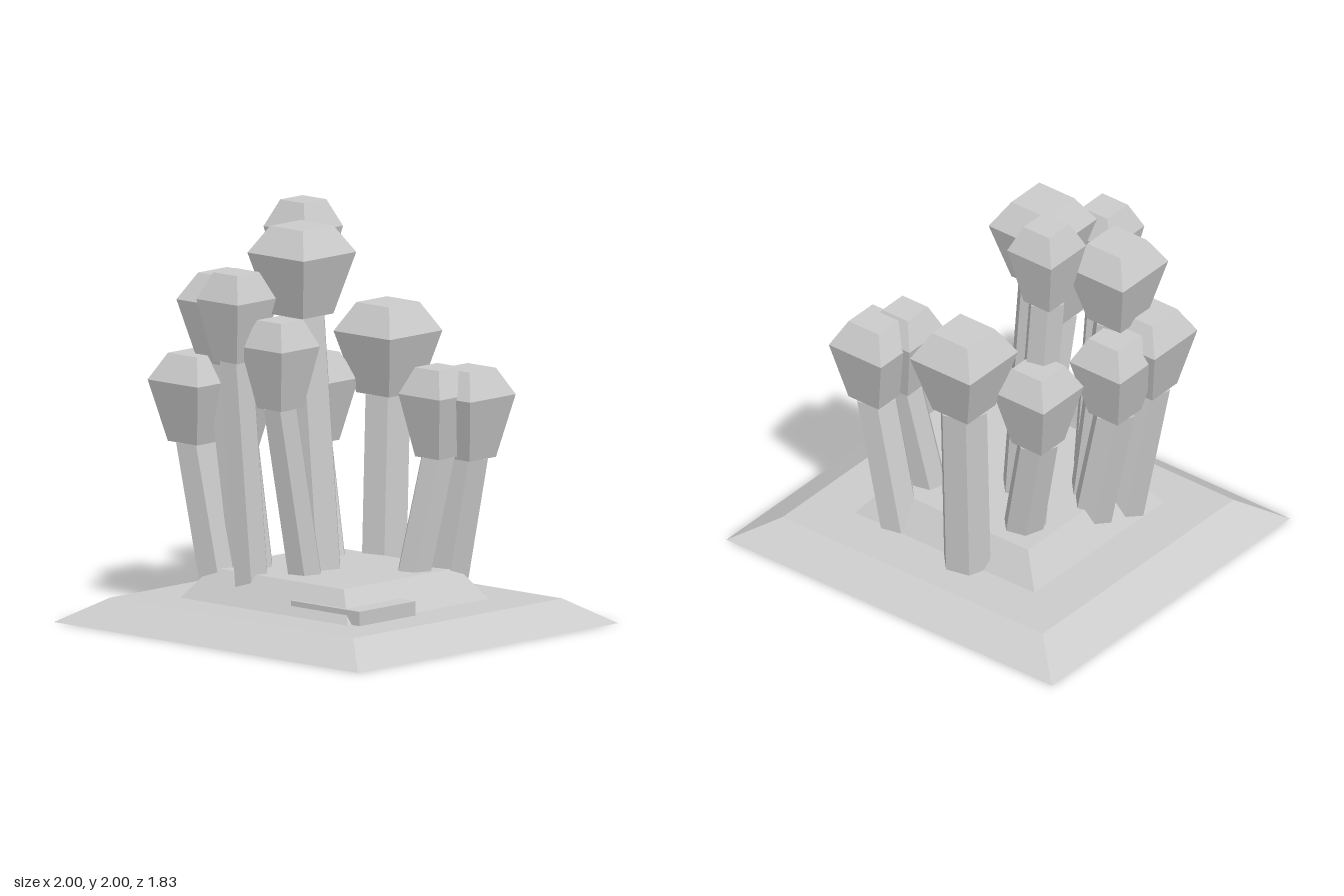
import * as THREE from 'three';

const stone = new THREE.MeshStandardMaterial({ color: 0xcccccc, flatShading: true });
stone.name = 'pale stone';

function addMesh(group, name, geometry) {
  const mesh = new THREE.Mesh(geometry, stone);
  mesh.name = name;
  group.add(mesh);
  return mesh;
}

// Box from y0 to y1 whose bottom and top rectangles differ in size
function frustum(x, z, y0, y1, w0, d0, w1, d1) {
  const geo = new THREE.BoxGeometry(1, 1, 1);
  const p = geo.attributes.position;
  for (let i = 0; i < p.count; i++) {
    const top = p.getY(i) > 0;
    p.setXYZ(i, x + p.getX(i) * (top ? w1 : w0), top ? y1 : y0, z + p.getZ(i) * (top ? d1 : d0));
  }
  geo.computeVertexNormals();
  return geo;
}

// Leaning six-sided prism with level ends
function leaningStem(bx, bz, tx, tz, y0, y1, r) {
  const geo = new THREE.CylinderGeometry(r, r, 1, 6, 1, false, -0.3);
  const p = geo.attributes.position;
  for (let i = 0; i < p.count; i++) {
    const t = p.getY(i) + 0.5;
    p.setXYZ(i, p.getX(i) + bx + (tx - bx) * t, y0 + (y1 - y0) * t, p.getZ(i) + bz + (tz - bz) * t);
  }
  geo.computeVertexNormals();
  return geo;
}

// Head centre x, z, half width; neck, widest and top heights; stem foot x, z
const PILLARS = [
  [-0.14, -0.515, 0.185, 1.04, 1.34, 1.48, -0.13, -0.475],
  [0.47, -0.43, 0.16, 0.81, 1.115, 1.245, 0.34, -0.41],
  [0.405, -0.285, 0.135, 0.825, 1.13, 1.26, 0.29, -0.2],
  [-0.15, 0.08, 0.185, 1.5, 1.8, 1.93, -0.07, 0.04],
  [-0.365, -0.16, 0.135, 1.57, 1.87, 2.0, -0.27, -0.19],
  [-0.24, 0.445, 0.135, 1.31, 1.61, 1.74, -0.21, 0.36],
  [-0.435, 0.295, 0.175, 1.26, 1.565, 1.695, -0.33, 0.22],
  [-0.56, 0.385, 0.165, 0.87, 1.17, 1.3, -0.44, 0.33],
  [-0.035, 0.355, 0.135, 1.09, 1.39, 1.52, -0.01, 0.18],
  [-0.525, 0.165, 0.155, 0.82, 1.12, 1.25, -0.4, 0.13],
  [-0.39, -0.255, 0.155, 0.81, 1.11, 1.24, -0.25, -0.22],
];

export function createModel() {
  const model = new THREE.Group();
  model.name = 'stonePillars';

  // Stepped base with sloping sides
  addMesh(model, 'base', frustum(0, 0, 0, 0.12, 2, 1.83, 1.6, 1.47));
  const tier = addMesh(model, 'upperTier', frustum(0, 0, 0.12, 0.27, 1.1, 0.99, 0.87, 0.8));
  tier.position.z = 0.01;

  // Low step at the front corner
  addMesh(model, 'cornerStep', frustum(0.375, 0.28, 0.12, 0.19, 0.45, 0.395, 0.45, 0.395));

  // Leaning pillars with faceted caps
  for (const [x, z, half, neck, wide, top, fx, fz] of PILLARS) {
    const pillar = new THREE.Group();
    pillar.name = 'pillar';
    const w = half * 2, n = w * 0.58;
    addMesh(pillar, 'stem', leaningStem(fx, fz, x, z, 0.12, neck, half * 0.67));
    addMesh(pillar, 'capLower', frustum(x, z, neck, wide, n, n, w, w));
    addMesh(pillar, 'capUpper', frustum(x, z, wide, top, w, w, n, n));
    model.add(pillar);
  }
  return model;
}
